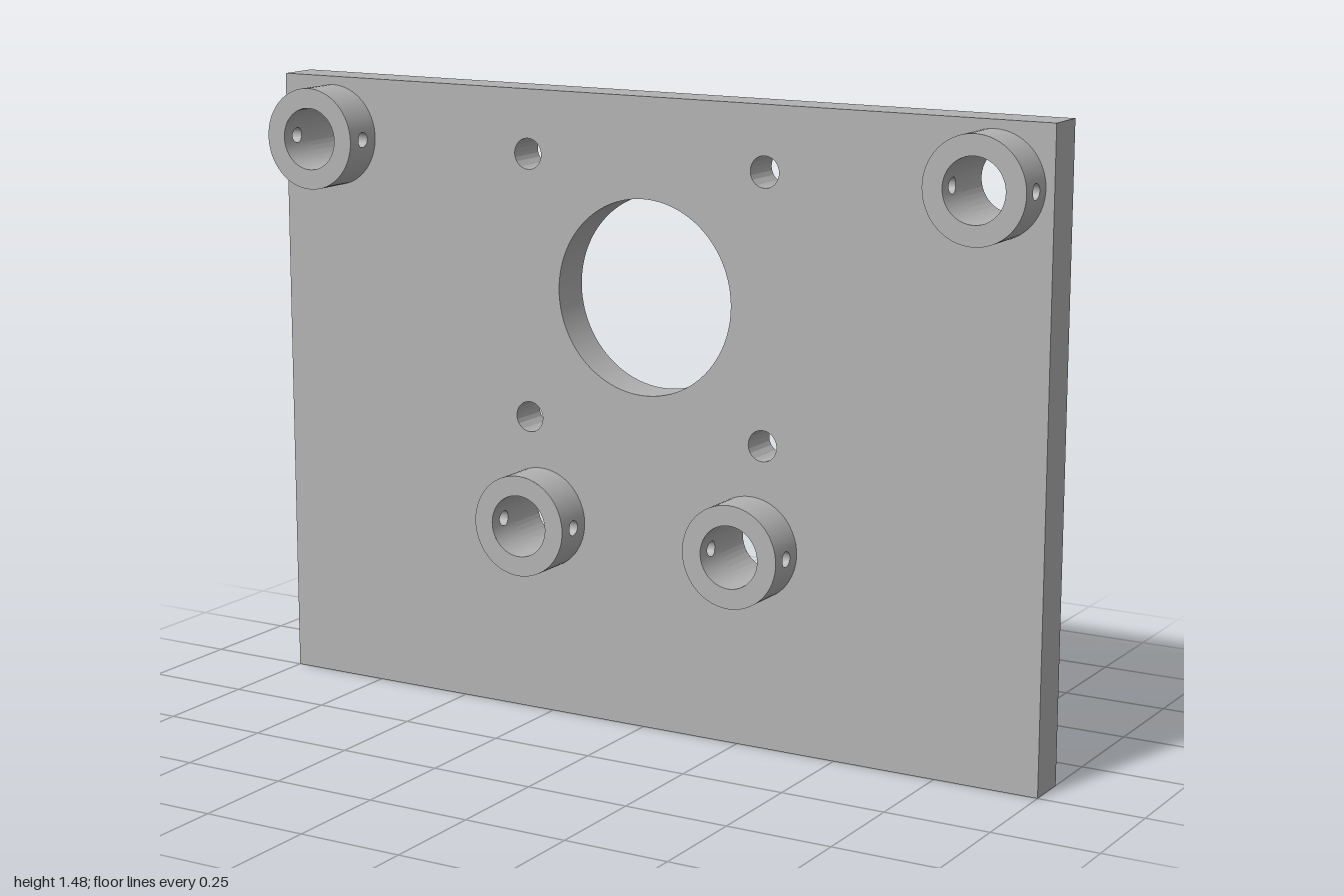
import * as THREE from 'three';
import { toCreasedNormals, mergeGeometries } from 'three/addons/utils/BufferGeometryUtils.js';

const THICK = 0.1, OUTER = 0.12, BORE = 0.073, PIN = 0.018, SECTOR = 0.6;

// Surface from a function (u, v) -> { p, n }, with faces wound to agree with n.
function surface(fn, nu, nv) {
  const pos = [], nor = [], index = [], pts = [];
  for (let j = 0; j <= nv; j++) {
    for (let i = 0; i <= nu; i++) {
      const { p, n } = fn(i / nu, j / nv);
      pts.push({ p, n });
      pos.push(p.x, p.y, p.z);
      nor.push(n.x, n.y, n.z);
    }
  }
  const tri = (a, b, c) => {
    const e = pts[b].p.clone().sub(pts[a].p).cross(pts[c].p.clone().sub(pts[a].p));
    if (e.dot(pts[a].n) < 0) index.push(a, c, b);
    else index.push(a, b, c);
  };
  for (let j = 0; j < nv; j++) {
    for (let i = 0; i < nu; i++) {
      const a = j * (nu + 1) + i, b = a + nu + 1;
      tri(a, a + 1, b);
      tri(a + 1, b + 1, b);
    }
  }
  const g = new THREE.BufferGeometry();
  g.setAttribute('position', new THREE.Float32BufferAttribute(pos, 3));
  g.setAttribute('normal', new THREE.Float32BufferAttribute(nor, 3));
  g.setIndex(index);
  return g;
}

// Collar with a round cross pin hole along x through both walls.
function collarGeometry() {
  const half = THICK / 2, parts = [];
  const wall = (r, sign, theta, z) => ({
    p: new THREE.Vector3(r * Math.cos(theta), r * Math.sin(theta), z),
    n: new THREE.Vector3(sign * Math.cos(theta), sign * Math.sin(theta), 0),
  });
  for (const [r, sign] of [[OUTER, 1], [BORE, -1]]) {
    // wall patch from the pin hole out to a rectangular border
    parts.push(surface((u, v) => {
      const t = u * Math.PI * 2, c = Math.cos(t), s = Math.sin(t);
      const k = 1 / Math.max(Math.abs(c), Math.abs(s));
      const theta = THREE.MathUtils.lerp(Math.asin(PIN * c / r), SECTOR * c * k, v);
      return wall(r, sign, theta, half + THREE.MathUtils.lerp(PIN * s, half * s * k, v));
    }, 40, 6));
    // plain wall between the two pin holes
    parts.push(surface((u, v) =>
      wall(r, sign, SECTOR + u * (Math.PI - 2 * SECTOR), v * THICK), 20, 1));
  }
  // pin hole lining
  parts.push(surface((u, v) => {
    const t = u * Math.PI * 2, y = PIN * Math.cos(t), z = PIN * Math.sin(t);
    const r = v ? OUTER : BORE;
    return {
      p: new THREE.Vector3(Math.sqrt(r * r - y * y), y, half + z),
      n: new THREE.Vector3(0, -Math.cos(t), -Math.sin(t)),
    };
  }, 40, 1));
  // half turn gives the opposite side
  const all = parts.concat(parts.map((g) => g.clone().rotateZ(Math.PI)));
  // front and back rims
  const rim = new THREE.RingGeometry(BORE, OUTER, 64);
  rim.deleteAttribute('uv');
  all.push(rim.clone().translate(0, 0, THICK), rim.rotateY(Math.PI));
  return mergeGeometries(all);
}

export function createModel() {
  const group = new THREE.Group();
  const metal = new THREE.MeshStandardMaterial({ color: 0xb2b2b2 });
  metal.name = 'grey metal';

  const collars = [], holes = [[0, 1.02, 0.227]];
  for (const s of [-1, 1]) {
    collars.push([s * 0.86, 1.34], [s * 0.28, 0.47]);
    holes.push([s * 0.31, 1.33, 0.036], [s * 0.31, 0.71, 0.036]);
  }
  for (const [x, y] of collars) holes.push([x, y, BORE]);

  // drilled plate
  const outline = new THREE.Shape();
  outline.moveTo(-1, 0).lineTo(1, 0).lineTo(1, 1.48).lineTo(-1, 1.48).closePath();
  for (const [x, y, r] of holes) {
    outline.holes.push(new THREE.Path().absarc(x, y, r, 0, Math.PI * 2, true));
  }
  const plateGeo = new THREE.ExtrudeGeometry(outline, {
    depth: THICK, bevelEnabled: false, curveSegments: 64,
  }).translate(0, 0, -THICK);
  const plate = new THREE.Mesh(toCreasedNormals(plateGeo, 0.6), metal);
  plate.name = 'mountingPlate';
  group.add(plate);

  // collars around the four larger holes
  const collarGeo = collarGeometry();
  for (const [x, y] of collars) {
    const collar = new THREE.Mesh(collarGeo, metal);
    collar.name = (y > 1 ? 'upper' : 'lower') + (x > 0 ? 'Left' : 'Right') + 'Collar';
    collar.position.set(x, y, 0);
    group.add(collar);
  }
  return group;
}
